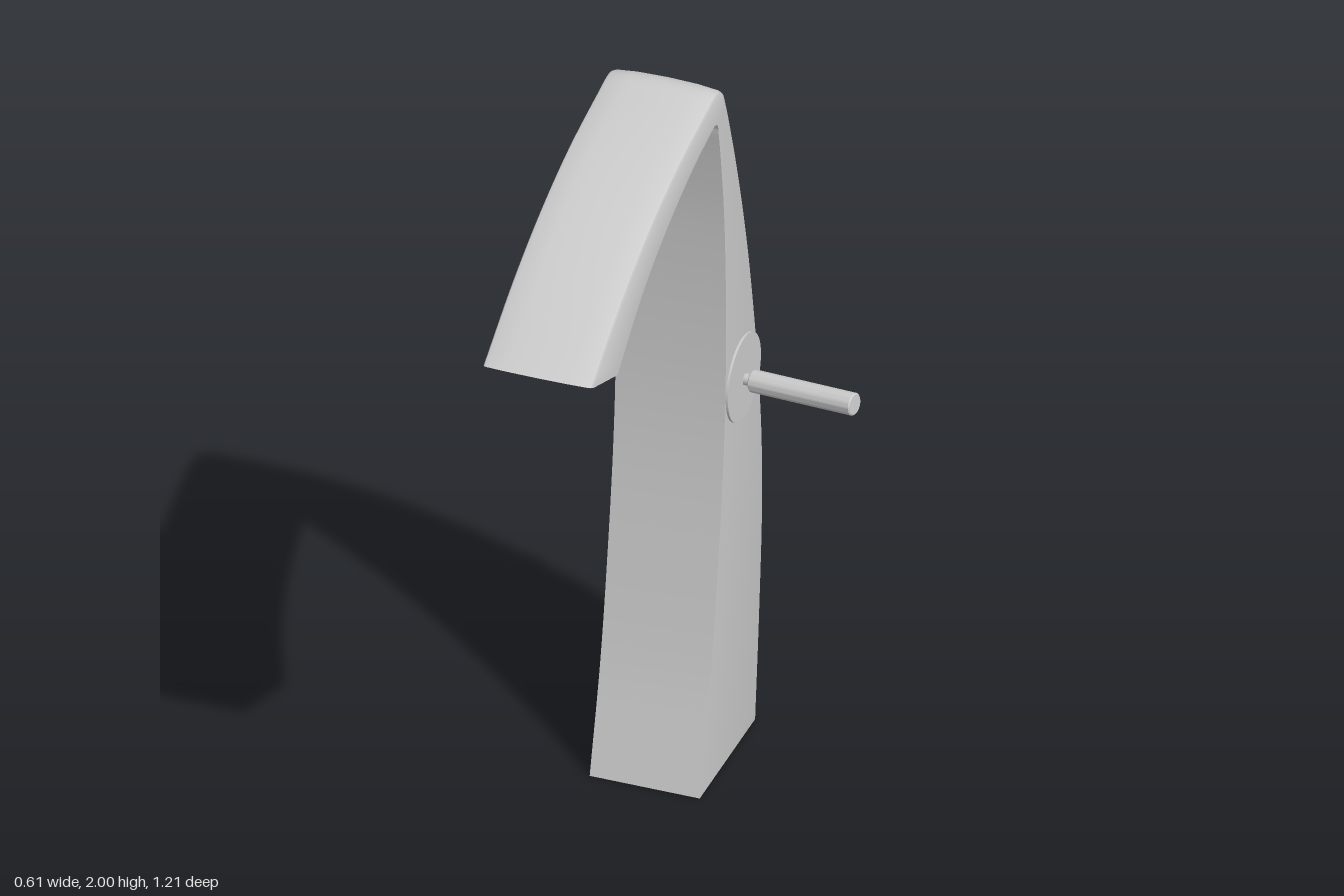
import * as THREE from 'three';
import { toCreasedNormals } from 'three/addons/utils/BufferGeometryUtils.js';

const CX = -0.165, W = 0.145; // body centre and half width

// paired outline stations: outer z, outer y, inner z, inner y
const STATIONS = [
  [-0.555, 0, -0.15, 0], [-0.583, 0.3, -0.225, 0.3], [-0.603, 0.6, -0.28, 0.62],
  [-0.598, 0.82, -0.312, 0.86], [-0.575, 1.02, -0.328, 1.06], [-0.545, 1.2, -0.333, 1.25],
  [-0.505, 1.4, -0.33, 1.44], [-0.455, 1.6, -0.319, 1.62], [-0.395, 1.8, -0.298, 1.78],
  [-0.348, 1.93, -0.284, 1.86], [-0.322, 1.98, -0.275, 1.9], [-0.28, 2, -0.258, 1.91],
  [-0.2, 1.99, -0.21, 1.903], [0, 1.947, -0.08, 1.87], [0.2, 1.88, 0.1, 1.8],
  [0.4, 1.784, 0.25, 1.72], [0.605, 1.66, 0.42, 1.59],
];

// crowned outer face: x offset and drop below the crown
const CROWN = [[W, 0.02], [0.141, 0.011], [0.132, 0.007], [0.08, 0.002], [0, 0],
  [-0.08, 0.002], [-0.132, 0.007], [-0.141, 0.011], [-W, 0.02]];

const v3 = (z, y) => new THREE.Vector3(0, y, z);

// cross-section as [x offset, distance from the inner face]
function section(depth) {
  return [...CROWN.map(([x, drop]) => [x, depth - drop]), [-W, 0], [W, 0]];
}

function bodyGeometry() {
  const outer = new THREE.CatmullRomCurve3(STATIONS.map(s => v3(s[0], s[1])));
  const inner = new THREE.CatmullRomCurve3(STATIONS.map(s => v3(s[2], s[3])));
  const N = 112, M = CROWN.length + 2, pos = [], index = [];
  for (let i = 0; i <= N; i++) {
    const a = inner.getPoint(i / N), d = outer.getPoint(i / N).sub(a);
    const depth = d.length();
    d.normalize();
    for (const [x, s] of section(depth)) pos.push(CX + x, a.y + d.y * s, a.z + d.z * s);
  }
  for (let i = 0; i < N; i++) {
    for (let j = 0; j < M; j++) {
      const a = i * M + j, b = i * M + (j + 1) % M;
      index.push(a, b, b + M, a, b + M, a + M);
    }
  }
  for (let j = 1; j < M - 1; j++) index.push(0, j + 1, j); // base
  const g = new THREE.BufferGeometry();
  g.setAttribute('position', new THREE.Float32BufferAttribute(pos, 3));
  g.setIndex(index);
  return toCreasedNormals(g, 0.6);
}

export function createModel() {
  const model = new THREE.Group();
  const grey = new THREE.MeshStandardMaterial({ color: 0xcccccc });
  const greyInside = new THREE.MeshStandardMaterial({ color: 0xcccccc, side: THREE.BackSide });
  const add = (parent, name, geometry, material = grey) => {
    const mesh = new THREE.Mesh(geometry, material);
    mesh.name = name;
    parent.add(mesh);
    return mesh;
  };

  // curved column and overhanging spout
  add(model, 'body', bodyGeometry());

  // spout end with a recessed slot outlet
  const [oz, oy, iz, iy] = STATIONS[STATIONS.length - 1];
  const d = v3(oz - iz, oy - iy), depth = d.length();
  d.normalize();
  const xAxis = new THREE.Vector3(1, 0, 0);
  const outlet = new THREE.Group();
  outlet.name = 'outlet';
  outlet.applyMatrix4(new THREE.Matrix4().makeBasis(xAxis, d, xAxis.clone().cross(d)).setPosition(CX, iy, iz));
  model.add(outlet);

  const slotW = 0.085, slotH = 0.028, slotY = 0.088, slotD = 0.02;
  const face = new THREE.Shape(section(depth).map(p => new THREE.Vector2(...p)));
  face.holes.push(new THREE.Path([[-1, -1], [1, -1], [1, 1], [-1, 1]]
    .map(([x, y]) => new THREE.Vector2(x * slotW, slotY + y * slotH))));
  add(outlet, 'spoutEnd', new THREE.ShapeGeometry(face));
  add(outlet, 'slotRecess', new THREE.BoxGeometry(slotW * 2, slotH * 2, slotD), greyInside)
    .position.set(0, slotY, -slotD / 2);
  add(outlet, 'nozzle', new THREE.BoxGeometry(slotW * 1.7, slotH * 1.1, 0.014))
    .position.set(0, slotY, -slotD + 0.007);

  // round side plate
  const plate = add(model, 'sidePlate', new THREE.CylinderGeometry(0.115, 0.115, 0.012, 64));
  plate.rotation.z = -Math.PI / 2;
  plate.position.set(-0.02, 1.06, -0.445);

  // lever: thin stem and thicker grip along one tilted axis
  const start = new THREE.Vector3(0.008, 1.055, -0.445);
  const axis = new THREE.Vector3(0.29, 0.026, 0.049).normalize();
  const lever = new THREE.Group();
  lever.name = 'lever';
  lever.position.copy(start);
  lever.quaternion.setFromUnitVectors(new THREE.Vector3(0, 1, 0), axis);
  model.add(lever);
  add(lever, 'stem', new THREE.CylinderGeometry(0.015, 0.015, 0.06, 24)).position.y = -0.015;
  const L = 0.293, R = 0.029, c = 0.003;
  const profile = [[0, 0], [R - c, 0], [R, c], [R, L - c], [R - c, L], [0, L]].map(p => new THREE.Vector2(...p));
  add(lever, 'grip', toCreasedNormals(new THREE.LatheGeometry(profile, 32), 0.5));

  return model;
}
